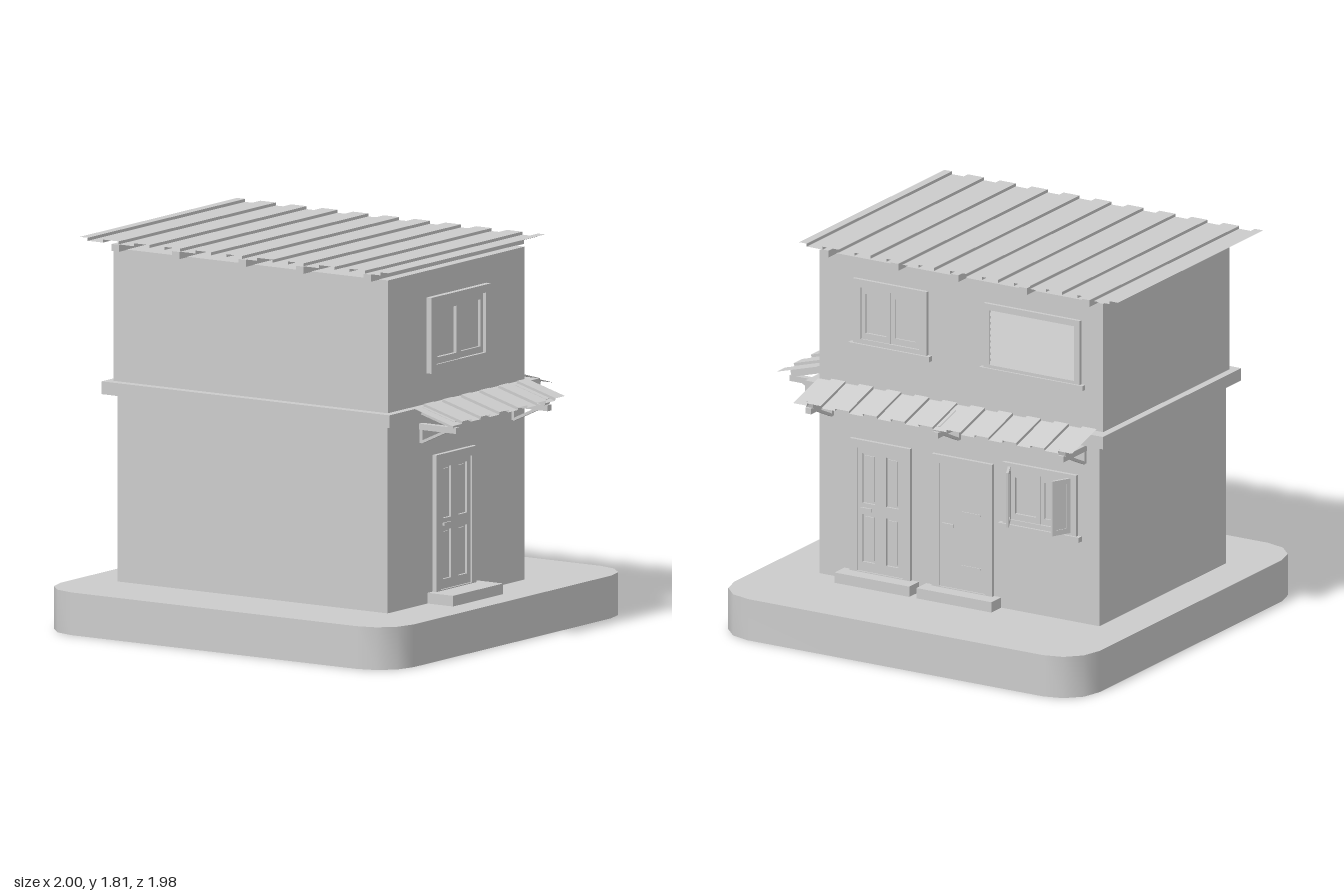
import * as THREE from 'three';

const grey = new THREE.MeshStandardMaterial({ color: 0xcccccc });
const thinFlat = new THREE.MeshStandardMaterial({ color: 0xcccccc, side: THREE.DoubleSide, flatShading: true });
const thinSmooth = new THREE.MeshStandardMaterial({ color: 0xcccccc, side: THREE.DoubleSide });

function add(parent, name, geometry, x = 0, y = 0, z = 0, material = grey) {
  const mesh = new THREE.Mesh(geometry, material);
  mesh.name = name;
  mesh.position.set(x, y, z);
  parent.add(mesh);
  return mesh;
}

function group(parent, name, x = 0, y = 0, z = 0, ry = 0) {
  const g = new THREE.Group();
  g.name = name;
  g.position.set(x, y, z);
  g.rotation.y = ry;
  parent.add(g);
  return g;
}

// Box given by its limits on each axis
function block(parent, name, x0, x1, y0, y1, z0, z1) {
  return add(parent, name, new THREE.BoxGeometry(x1 - x0, y1 - y0, z1 - z0),
    (x0 + x1) / 2, (y0 + y1) / 2, (z0 + z1) / 2);
}

// Flat board facing +z with rectangular holes [x, y, width, height]
function plate(w, h, d, holes = []) {
  const rect = (Type, x, y, rw, rh) => new Type([[-1, -1], [1, -1], [1, 1], [-1, 1]]
    .map(([i, j]) => new THREE.Vector2(x + i * rw / 2, y + j * rh / 2)));
  const shape = rect(THREE.Shape, 0, 0, w, h);
  shape.holes = holes.map((o) => rect(THREE.Path, ...o));
  return new THREE.ExtrudeGeometry(shape, { depth: d, bevelEnabled: false });
}

// Open ribbon: a 2D polyline in x/y swept along z
function ribbon(points, z0, z1) {
  const pos = [], index = [];
  points.forEach(([x, y], i) => {
    pos.push(x, y, z0, x, y, z1);
    if (i) index.push(2 * i - 2, 2 * i - 1, 2 * i, 2 * i, 2 * i - 1, 2 * i + 1);
  });
  const g = new THREE.BufferGeometry();
  g.setAttribute('position', new THREE.Float32BufferAttribute(pos, 3));
  g.setIndex(index);
  g.computeVertexNormals();
  return g;
}

// Square-wave profile of a corrugated sheet; edges are the x of every step
function corrugation(edges, height, firstRaised) {
  const points = [];
  for (let i = 0; i < edges.length - 1; i++) {
    const y = (i % 2 === 0) === firstRaised ? height : 0;
    points.push([edges[i], y], [edges[i + 1], y]);
  }
  return points;
}

// Hollow ground slab with rounded corners, open underneath
function buildBase(parent) {
  const g = group(parent, 'base', -0.01, 0, 0);
  const r = 0.19, e = 0.99, pts = [[e, 0]];
  for (let c = 0; c < 4; c++) {
    const sx = c === 0 || c === 3 ? 1 : -1, sz = c < 2 ? 1 : -1;
    for (let k = 0; k <= 3; k++) {
      const a = (c + k / 3) * Math.PI / 2;
      pts.push([sx * (e - r) + r * Math.cos(a), sz * (e - r) + r * Math.sin(a)]);
    }
  }
  pts.push([e, 0]);
  const side = ribbon(pts, 0, 0.2).rotateX(-Math.PI / 2);
  add(g, 'baseSide', side, 0, 0, 0, thinSmooth);
  const top = new THREE.ShapeGeometry(new THREE.Shape(pts.slice(0, -1).map((p) => new THREE.Vector2(...p))));
  add(g, 'baseTop', top.rotateX(-Math.PI / 2), 0, 0.2, 0, thinFlat);
}

// Roof sheet on five beams
function buildRoof(parent) {
  const g = group(parent, 'roof');
  const edges = [-0.95, -0.905];
  for (let i = 0; i < 19; i++) edges.push(-0.819 + i * 0.0865);
  edges.push(0.78);
  add(g, 'roofSheet', ribbon(corrugation(edges, 0.014, true), -0.557, 0.72), 0, 1.799, 0, thinFlat);
  for (const x of [-0.765, -0.425, -0.053, 0.272, 0.65])
    block(g, 'roofBeam', x - 0.021, x + 0.021, 1.76, 1.793, -0.54, 0.7);
}

// Sloping awning reaching out along local +z
function buildAwning(parent, name, x, z, ry, strips, brackets) {
  const g = group(parent, name, x, 0, z, ry);
  const tilt = 0.275, pitch = 0.0757;
  const edges = Array.from({ length: strips + 1 }, (_, i) => (i - strips / 2) * pitch);
  const sheet = add(g, 'awningSheet', ribbon(corrugation(edges, 0.013, false), 0, 0.224), 0, 1.15, 0.014, thinFlat);
  sheet.rotation.x = tilt;
  for (const bx of brackets) {
    const b = group(g, 'bracket', bx, 0, 0);
    const rafter = add(b, 'rafter', new THREE.BoxGeometry(0.038, 0.035, 0.185), 0, 1.107, 0.108);
    rafter.rotation.x = tilt;
    block(b, 'bracketArm', -0.015, 0.015, 1.042, 1.07, 0, 0.207);
    block(b, 'bracketPost', -0.011, 0.011, 0.98, 1.045, 0, 0.016);
    const brace = add(b, 'bracketBrace', new THREE.BoxGeometry(0.02, 0.013, 0.145), 0, 1.014, 0.075);
    brace.rotation.x = -0.44;
  }
}

// Door with frame, leaf, handle and step; local origin at the middle of the wall line
function buildDoor(parent, name, x, panelled, depth) {
  const g = group(parent, name, x, 0, 0);
  add(g, 'doorFrame', plate(0.327, 0.64, depth, [[0, -0.018, 0.25, 0.595]]), 0, 0.57, 0);
  const panels = [];
  for (const s of [-1, 1]) panels.push([s * 0.064, 0.153, 0.068, 0.24], [s * 0.064, -0.137, 0.068, 0.23]);
  add(g, 'doorLeaf', plate(0.25, 0.595, depth * 0.6, panelled ? panels : []), 0, 0.552, 0);
  if (panelled) {
    for (const [px, py, w, h] of panels)
      add(g, 'doorPanel', plate(w - 0.02, h - 0.02, depth * 0.35), px, 0.552 + py, 0);
  } else {
    for (const y of [0.37, 0.63])
      block(g, 'doorSlot', -0.01, 0.1, y - 0.004, y + 0.004, 0, depth * 0.6 + 0.004);
  }
  block(g, 'doorHandle', -0.103, -0.045, 0.55, 0.566, depth * 0.6 + 0.006, depth * 0.6 + 0.014);
  block(g, 'handlePin', -0.1, -0.088, 0.552, 0.564, 0, depth * 0.6 + 0.01);
  block(g, 'doorStep', -0.203, 0.203, 0.2, 0.25, -0.01, panelled && depth > 0.02 ? 0.145 : 0.088);
}

// Two-sash window with optional sill
function buildWindow(parent, name, x, y, w, h, depth, sill) {
  const g = group(parent, name, x, y, 0);
  const iw = w - 0.085, ih = h - 0.075;
  add(g, 'windowFrame', plate(w, h, depth, [[0, 0, iw, ih]]));
  for (const s of [-1, 1]) {
    const sash = plate(iw / 2, ih, depth * (s < 0 ? 0.65 : 0.45), [[0, 0, iw / 2 - 0.045, ih - 0.06]]);
    add(g, 'sash', sash, s * iw / 4, 0, 0);
  }
  if (sill) block(g, 'windowSill', -w / 2 - 0.02, w / 2 + 0.02, -h / 2 - 0.01, -h / 2 + 0.015, 0, depth + 0.01);
  return g;
}

// Window covered by tilted slats
function buildSlattedWindow(parent, x, y, w, h) {
  const g = group(parent, 'slattedWindow', x, y, 0);
  add(g, 'windowFrame', plate(w, h, 0.017, [[0, 0, w - 0.06, h - 0.06]]));
  const n = 9, step = (h - 0.06) / n;
  for (let i = 0; i < n; i++) {
    const slat = add(g, 'slat', new THREE.BoxGeometry(w - 0.06, step * 1.05, 0.004), 0, (i - (n - 1) / 2) * step, 0.007);
    slat.rotation.x = -0.25;
  }
  block(g, 'windowSill', -w / 2 - 0.02, w / 2 + 0.02, -h / 2 - 0.01, -h / 2 + 0.015, 0, 0.026);
}

// Lower window with a pair of half-open shutters
function buildShutterWindow(parent, x, y) {
  const g = buildWindow(parent, 'shutterWindow', x, y, 0.4, 0.31, 0.018, true);
  for (const s of [-1, 1]) {
    const hinge = group(g, 'shutter', s * 0.165, 0.005, 0.016, s < 0 ? -1.1 : Math.PI + 1.1);
    add(hinge, 'shutterFrame', plate(0.098, 0.265, 0.012, [[0, 0, 0.06, 0.215]]), 0.049, 0, -0.006);
    add(hinge, 'shutterPanel', plate(0.06, 0.215, 0.005), 0.049, 0, -0.0025);
  }
}

export function createModel() {
  const model = new THREE.Group();
  model.name = 'house';
  buildBase(model);

  // Two storeys with a ledge between
  block(model, 'lowerStorey', -0.805, 0.712, 0.2, 1.08, -0.485, 0.625);
  block(model, 'ledge', -0.855, 0.76, 1.08, 1.14, -0.535, 0.68);
  block(model, 'upperStorey', -0.818, 0.722, 1.14, 1.762, -0.472, 0.637);
  buildRoof(model);

  // Side wall at +x
  const side = group(model, 'sideWallFittings', 0.71, 0, 0, Math.PI / 2);
  buildDoor(side, 'sideDoor', -0.0975, true, 0.024);
  const sideUpper = group(model, 'sideUpperFittings', 0.721, 0, 0, Math.PI / 2);
  buildWindow(sideUpper, 'sideWindow', -0.082, 1.46, 0.485, 0.355, 0.028, false);
  buildAwning(model, 'sideAwning', 0.77, 0.061, Math.PI / 2, 12, [-0.379, 0.366]);

  // Back wall at -z
  const back = group(model, 'backWallFittings', 0, 0, -0.484, Math.PI);
  buildDoor(back, 'panelDoor', -0.375, true, 0.018);
  buildDoor(back, 'plainDoor', 0.07, false, 0.018);
  buildShutterWindow(back, 0.49, 0.76);
  const backUpper = group(model, 'backUpperFittings', 0, 0, -0.471, Math.PI);
  buildWindow(backUpper, 'backWindow', -0.33, 1.5, 0.4, 0.325, 0.017, true);
  buildSlattedWindow(backUpper, 0.44, 1.5, 0.52, 0.325);
  buildAwning(model, 'backAwning', -0.047, -0.49, Math.PI, 20, [-0.69, 0, 0.68]);

  return model;
}
